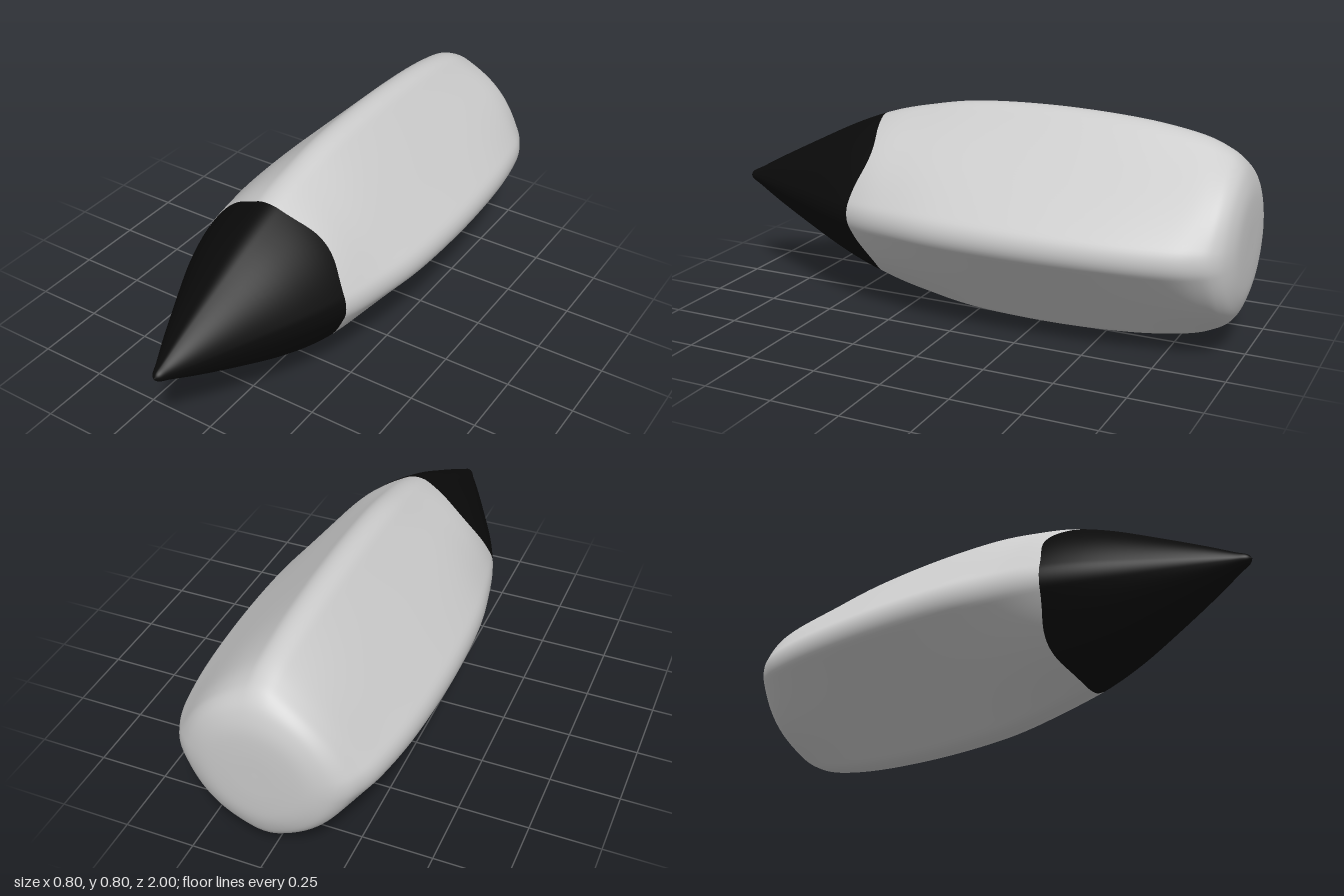
import * as THREE from 'three';

// Profile along the length: [corner radius, roundness (0 diamond, 1 circle), z]
const PROFILE = [
  [0, 1, -1], [0.1, 1, -0.999], [0.17, 0.97, -0.994], [0.23, 0.88, -0.978], [0.28, 0.7, -0.948],
  [0.315, 0.48, -0.9], [0.352, 0.22, -0.8], [0.383, 0.05, -0.6], [0.398, 0, -0.3],
  [0.388, 0.09, 0], [0.356, 0.29, 0.2], [0.316, 0.49, 0.36], [0.262, 0.57, 0.5],
  [0.17, 0.66, 0.69], [0.089, 0.74, 0.85], [0.038, 0.8, 0.945], [0.018, 0.9, 0.985], [0, 1, 1],
];
const SEAM = 11;       // profile point where the dark nose begins
const STEPS = 7;       // rings between profile points
const SIDES = 192;
const CENTRE_Y = 0.398;

// Polar radius of a diamond with rounded corners, 1 at each corner
function roundedDiamond(a) {
  const quarter = Math.PI / 2;
  const p = Math.abs(a - Math.round(a / quarter) * quarter);
  const R = 0.2, c = 1 - R;
  if (p < 0.15) return c * Math.cos(p) + Math.sqrt(R * R - (c * Math.sin(p)) ** 2);
  return (c + R * Math.SQRT2) / (Math.cos(p) + Math.sin(p));
}

export function createModel() {
  const curve = new THREE.CatmullRomCurve3(PROFILE.map(p => new THREE.Vector3(...p)));
  const spans = PROFILE.length - 1;
  const rings = spans * STEPS;
  const positions = [];
  const v = new THREE.Vector3();

  // Rings of vertices; those near the seam follow its wavy edge
  for (let i = 0; i <= rings; i++) {
    const s = i / STEPS;
    const wave = 0.14 * Math.max(0, 1 - Math.abs(s - SEAM) / 2);
    for (let j = 0; j < SIDES; j++) {
      const a = (j / SIDES) * Math.PI * 2;
      curve.getPoint((s + wave * Math.cos(4 * a)) / spans, v);
      const r = Math.max(0, v.x) * THREE.MathUtils.lerp(roundedDiamond(a), 1, v.y);
      positions.push(r * Math.cos(a), CENTRE_Y + r * Math.sin(a), v.z);
    }
  }

  function facesBetween(from, to) {
    const index = [];
    for (let i = from; i < to; i++) {
      for (let j = 0; j < SIDES; j++) {
        const k = (j + 1) % SIDES;
        const a = i * SIDES + j, b = i * SIDES + k;
        const c = a + SIDES, d = b + SIDES;
        if (i > 0) index.push(a, b, d);
        if (i < rings - 1) index.push(a, d, c);
        else index.push(a, b, c);
      }
    }
    return index;
  }

  // Normals come from the whole hull so the seam stays smooth
  const hull = new THREE.BufferGeometry();
  hull.setAttribute('position', new THREE.Float32BufferAttribute(positions, 3));
  hull.setIndex(facesBetween(0, rings));
  hull.computeVertexNormals();

  const group = new THREE.Group();
  function addPart(name, color, from, to) {
    const geometry = hull.clone();
    geometry.setIndex(facesBetween(from, to));
    const mesh = new THREE.Mesh(geometry, new THREE.MeshStandardMaterial({ color }));
    mesh.name = name;
    group.add(mesh);
  }
  addPart('body', 0xcccccc, 0, SEAM * STEPS);
  addPart('noseCone', 0x0a0a0a, SEAM * STEPS, rings);
  return group;
}
